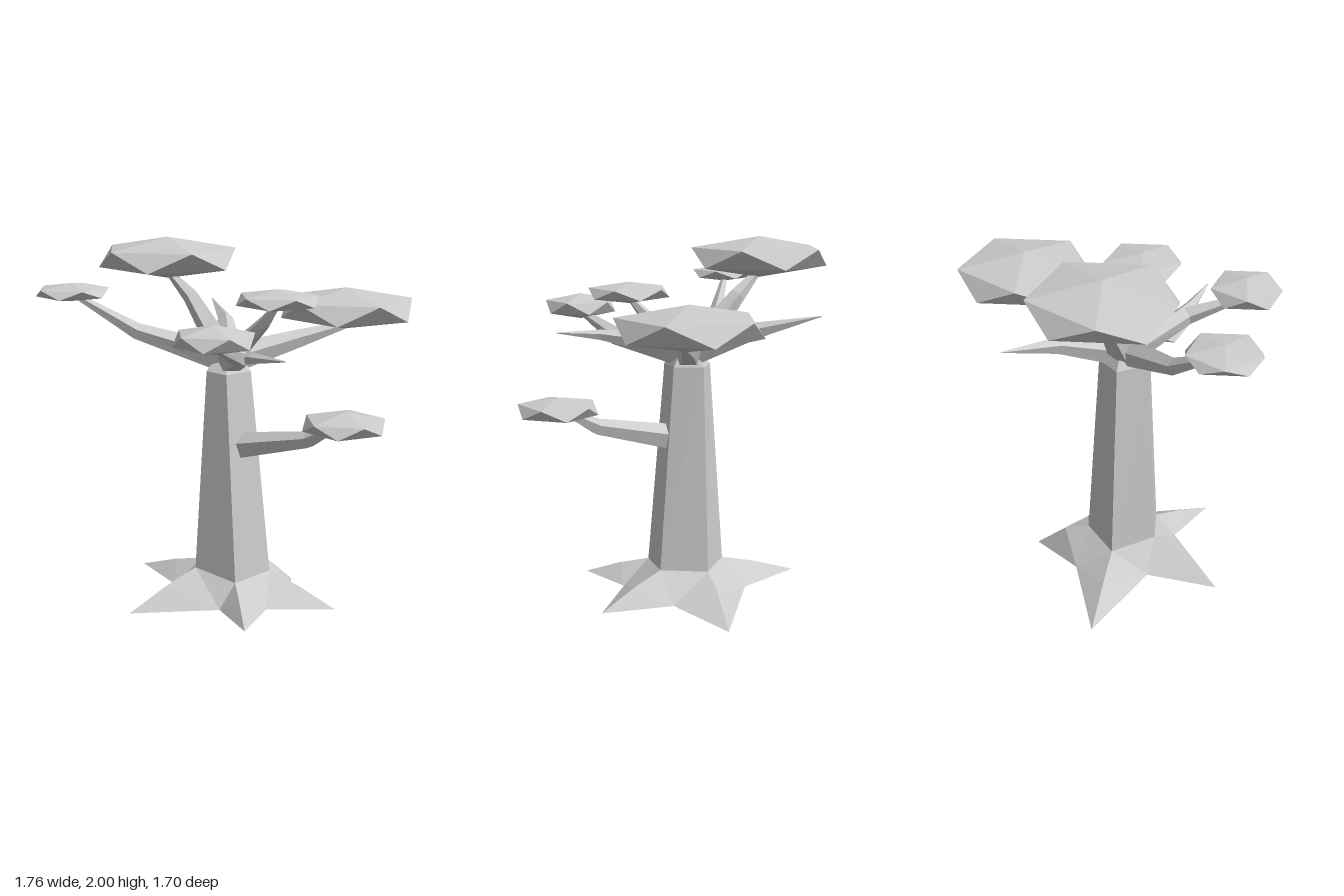
import * as THREE from 'three';

const V = (x, y, z) => new THREE.Vector3(x, y, z);
const material = new THREE.MeshStandardMaterial({ color: 0xcccccc, flatShading: true });

function meshFrom(points, name) {
  const geometry = new THREE.BufferGeometry().setFromPoints(points);
  geometry.computeVertexNormals();
  const mesh = new THREE.Mesh(geometry, material);
  mesh.name = name;
  return mesh;
}

// Skin rings of equal size; rings run counter-clockwise seen from the far end
function loft(rings, name) {
  const tris = [];
  const n = rings[0].length;
  for (let k = 0; k < rings.length - 1; k++) {
    for (let i = 0; i < n; i++) {
      const j = (i + 1) % n, a = rings[k], b = rings[k + 1];
      tris.push(a[i], a[j], b[j], a[i], b[j], b[i]);
    }
  }
  const last = rings[rings.length - 1];
  for (let i = 1; i < n - 1; i++) tris.push(last[0], last[i], last[i + 1]);
  return meshFrom(tris, name);
}

// Tapered limb along a few points [x, y, z, radius]
function branch(name, path, sides = 5) {
  const pts = path.map(p => V(p[0], p[1], p[2]));
  const rings = pts.map((p, k) => {
    const dir = pts[Math.min(k + 1, pts.length - 1)].clone()
      .sub(pts[Math.max(k - 1, 0)]).normalize();
    const u = V(0, 1, 0).cross(dir).normalize();
    const v = dir.clone().cross(u);
    return Array.from({ length: sides }, (_, i) => {
      const t = Math.PI / 2 + i / sides * Math.PI * 2;
      return p.clone().addScaledVector(u, path[k][3] * Math.cos(t))
        .addScaledVector(v, path[k][3] * Math.sin(t));
    });
  });
  return loft(rings, name);
}

// Flattened icosahedron standing on a vertex
function leafPad(x, y, z, radius, halfHeight) {
  const geometry = new THREE.IcosahedronGeometry(1, 0);
  geometry.rotateZ(Math.atan(2 / (1 + Math.sqrt(5))));
  const r = radius / 0.894;
  geometry.scale(r, halfHeight, r);
  geometry.computeVertexNormals();
  const mesh = new THREE.Mesh(geometry, material);
  mesh.position.set(x, y, z);
  mesh.name = 'leafPad';
  return mesh;
}

// Star of five roots: ridges run from the trunk corners to the tips
function roots(corners) {
  const tips = [V(0.05, 0, -0.46), V(-0.73, 0.07, -0.07), V(-0.36, 0.08, 0.58),
    V(0.31, 0.11, 0.52), V(0.55, 0.08, -0.02)];
  const valleys = [V(-0.27, 0.1, -0.2), V(-0.33, 0.12, 0.2), V(0.05, 0.1, 0.34),
    V(0.26, 0.1, 0.21), V(0.2, 0.09, -0.18)];
  const base = V(-0.05, 0.07, 0.06);
  const tris = [];
  for (let i = 0; i < 5; i++) {
    const c = corners[i], t = tips[i], w = valleys[i], p = valleys[(i + 4) % 5];
    const ridge = c.clone().lerp(t, 0.45);
    ridge.y += i === 0 ? 0.04 : 0.01;
    tris.push(c, w, corners[(i + 1) % 5]);
    tris.push(c, ridge, w, ridge, t, w);
    tris.push(c, p, ridge, ridge, p, t);
    tris.push(base, w, t, base, t, p);
  }
  return meshFrom(tris, 'roots');
}

export function createModel() {
  const tree = new THREE.Group();
  tree.name = 'tree';

  // Five-sided trunk closing to a small crown
  const foot = [V(-0.05, 0.22, -0.15), V(-0.265, 0.22, 0), V(-0.17, 0.26, 0.23),
    V(0.08, 0.22, 0.23), V(0.16, 0.23, 0)];
  const neck = [V(-0.07, 1.33, -0.08), V(-0.188, 1.33, 0.02), V(-0.12, 1.34, 0.18),
    V(0, 1.33, 0.18), V(0.053, 1.33, 0.02)];
  const crown = neck.map(p => V(-0.065, 1.45, 0.05).lerp(V(p.x, 1.45, p.z), 0.3));
  tree.add(roots(foot), loft([foot, neck, crown], 'trunk'));

  // Limbs
  tree.add(
    branch('topBranch', [[-0.07, 1.38, 0.04, 0.08], [-0.34, 1.69, -0.02, 0.045], [-0.48, 1.81, -0.02, 0.02]]),
    branch('frontLeftBranch', [[-0.07, 1.39, 0.07, 0.08], [-0.46, 1.54, 0.32, 0.045], [-0.67, 1.72, 0.51, 0.018]]),
    branch('bareBackBranch', [[-0.07, 1.39, 0.03, 0.08], [-0.28, 1.53, -0.27, 0.045], [-0.51, 1.61, -0.5, 0.003]]),
    branch('backBranch', [[-0.05, 1.39, 0.03, 0.08], [0.18, 1.47, -0.28, 0.05], [0.36, 1.53, -0.48, 0.02]]),
    branch('middleBranch', [[-0.05, 1.4, 0.06, 0.06], [0.17, 1.6, 0.1, 0.035], [0.26, 1.7, 0.12, 0.015]]),
    branch('frontBranch', [[-0.05, 1.39, 0.07, 0.08], [0.19, 1.47, 0.36, 0.05], [0.22, 1.57, 0.64, 0.02]]),
    branch('bareFrontTwig', [[0.12, 1.45, 0.28, 0.05], [0.28, 1.48, 0.38, 0.03], [0.5, 1.5, 0.465, 0.003]]),
    branch('lowBranch', [[0, 0.93, 0.08, 0.075], [0.46, 1.04, 0.14, 0.045], [0.62, 1.13, 0.17, 0.02]])
  );

  // Foliage: x, y, z, radius, half height
  const pads = [
    [-0.49, 1.89, -0.02, 0.367, 0.11],
    [0.346, 1.617, -0.512, 0.36, 0.112],
    [0.265, 1.73, 0.12, 0.21, 0.055],
    [0.67, 1.153, 0.175, 0.206, 0.063],
    [0.228, 1.61, 0.663, 0.193, 0.07],
    [-0.695, 1.755, 0.54, 0.185, 0.046]
  ];
  for (const p of pads) tree.add(leafPad(...p));
  return tree;
}
